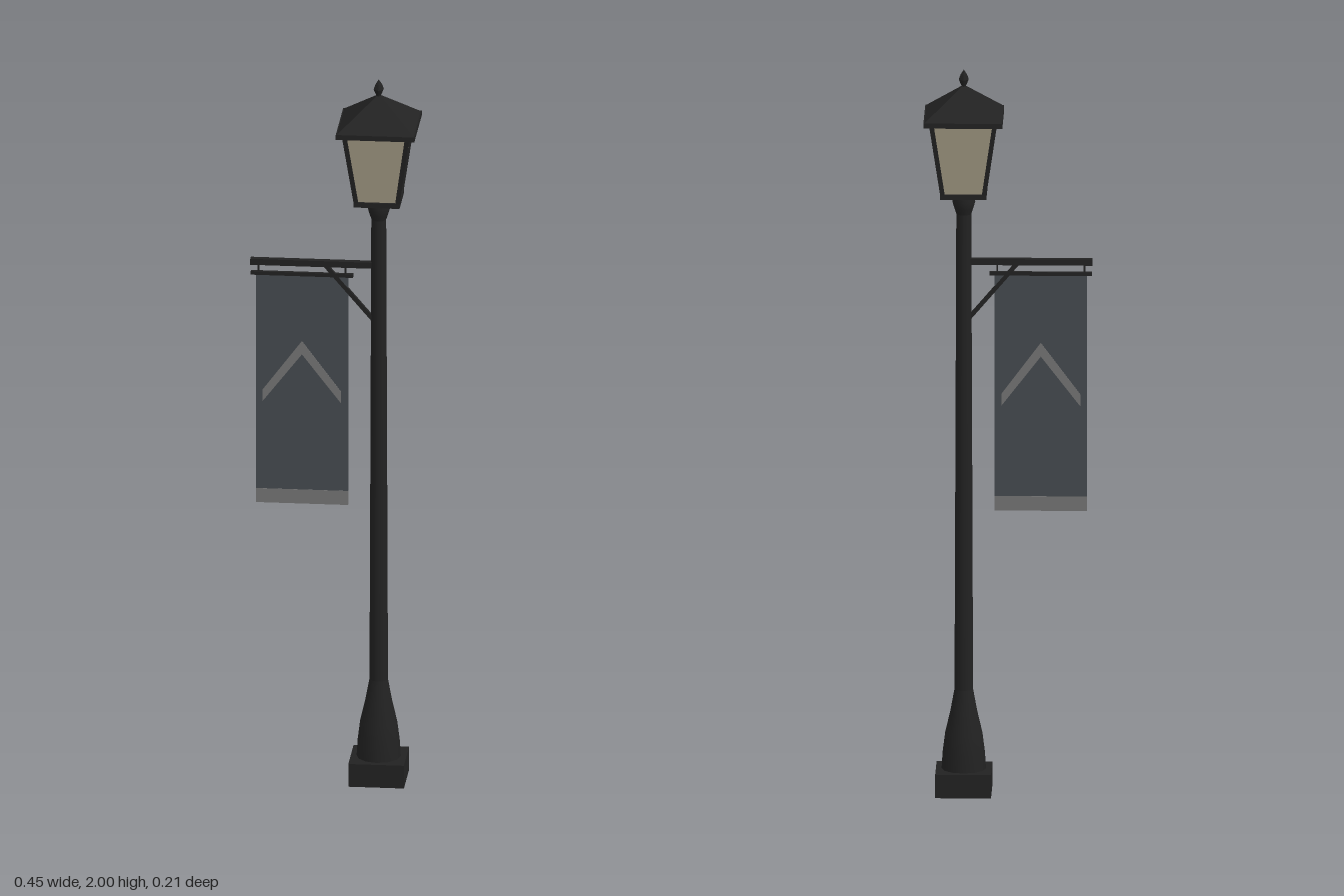
import * as THREE from 'three';

const POST_X = 0.119;
const BANNER_X = -0.088;

export function createModel() {
  const model = new THREE.Group();
  model.name = 'streetLamp';

  const material = (name, color, side = THREE.FrontSide) => {
    const m = new THREE.MeshStandardMaterial({ color, side });
    m.name = name;
    return m;
  };
  const iron = material('black iron', 0x222222);
  const glass = material('warm glass', 0xa59c86, THREE.DoubleSide);
  const cloth = material('slate cloth', 0x464b50);
  const trim = material('grey trim', 0x757575);

  const add = (name, geometry, mat, x = 0, y = 0, z = 0, parent = model) => {
    const mesh = new THREE.Mesh(geometry, mat);
    mesh.name = name;
    mesh.position.set(x, y, z);
    parent.add(mesh);
    return mesh;
  };
  // Faceted copy of a geometry
  const facet = (geometry) => {
    const g = geometry.toNonIndexed();
    g.computeVertexNormals();
    return g;
  };
  const box = (w, h, d) => new THREE.BoxGeometry(w, h, d);
  const lathe = (points, sides) =>
    new THREE.LatheGeometry(points.map(([r, y]) => new THREE.Vector2(r, y)), sides);
  // Square frustum given by its half widths
  const frustum = (top, bottom, height, open = false) => facet(
    new THREE.CylinderGeometry(top * Math.SQRT2, bottom * Math.SQRT2, height, 4, 1, open, Math.PI / 4));
  // Square bar between two points
  const bar = (name, a, b, size, parent) => {
    const start = new THREE.Vector3(...a), end = new THREE.Vector3(...b);
    const mesh = add(name, box(size, start.distanceTo(end), size), iron, 0, 0, 0, parent);
    mesh.position.copy(start).lerp(end, 0.5);
    mesh.quaternion.setFromUnitVectors(new THREE.Vector3(0, 1, 0), end.sub(start).normalize());
    return mesh;
  };

  // Post: hollow square plinth, flared foot, tapering shaft and collar
  const post = new THREE.Group();
  post.name = 'post';
  post.position.x = POST_X;
  model.add(post);
  const square = (h) => [[-h, -h], [h, -h], [h, h], [-h, h]].map(([x, y]) => new THREE.Vector2(x, y));
  const plinthShape = new THREE.Shape(square(0.075));
  plinthShape.holes.push(new THREE.Path(square(0.042)));
  const plinth = new THREE.ExtrudeGeometry(plinthShape, { depth: 0.065, bevelEnabled: false });
  plinth.rotateX(-Math.PI / 2);
  add('plinth', plinth, iron, 0, 0, 0, post);
  add('footFloor', box(0.1, 0.006, 0.1), iron, 0, 0.06, 0, post);
  add('foot', lathe([[0.06, 0.06], [0.057, 0.11], [0.05, 0.165], [0.036, 0.225], [0.025, 0.285]], 12),
    iron, 0, 0, 0, post);
  add('shaft', new THREE.CylinderGeometry(0.02, 0.025, 1.36, 12), iron, 0, 0.96, 0, post);
  add('collar', lathe([[0.02, 1.6], [0.025, 1.615], [0.031, 1.635], [0.026, 1.66]], 12), iron, 0, 0, 0, post);

  // Lantern: floor, glass, corner bars, rails, roof and finial
  const lantern = new THREE.Group();
  lantern.name = 'lantern';
  lantern.position.x = POST_X;
  model.add(lantern);
  add('lanternFloor', box(0.124, 0.014, 0.124), iron, 0, 1.661, 0, lantern);
  add('glassPanes', frustum(0.085, 0.056, 0.2, true), glass, 0, 1.765, 0, lantern);
  for (const sx of [-1, 1]) {
    for (const sz of [-1, 1]) {
      bar('cornerBar', [sx * 0.055, 1.66, sz * 0.055], [sx * 0.085, 1.866, sz * 0.085], 0.012, lantern);
    }
  }
  add('eaves', box(0.212, 0.014, 0.212), iron, 0, 1.869, 0, lantern);
  add('roof', frustum(0.004, 0.104, 0.08), iron, 0, 1.915, 0, lantern);
  add('finial', facet(lathe([[0.006, 1.945], [0.007, 1.956], [0.015, 1.973], [0.009, 1.987], [0, 2]], 6)),
    iron, 0, 0, 0, lantern);

  // Bracket: arm, diagonal brace, banner rod and hangers
  add('arm', box(0.34, 0.017, 0.017), iron, -0.057, 1.469, 0);
  bar('brace', [-0.024, 1.463, 0], [0.105, 1.312, 0], 0.011, model);
  bar('bannerRod', [-0.226, 1.436, 0], [0.05, 1.436, 0], 0.01, model);
  for (const side of [-1, 1]) {
    bar('hanger', [BANNER_X + side * 0.117, 1.436, 0], [BANNER_X + side * 0.117, 1.465, 0], 0.005, model);
  }

  // Banner with a hem band and a chevron showing on both faces
  add('banner', box(0.249, 0.615, 0.005), cloth, BANNER_X, 1.1275, 0);
  add('hemBand', box(0.249, 0.04, 0.007), trim, BANNER_X, 0.8, 0);
  const chevronShape = new THREE.Shape([
    [-0.106, 1.07], [0, 1.207], [0.106, 1.07], [0.106, 1.103], [0, 1.245], [-0.106, 1.103],
  ].map(([x, y]) => new THREE.Vector2(x, y)));
  const chevron = new THREE.ExtrudeGeometry(chevronShape, { depth: 0.008, bevelEnabled: false });
  add('chevron', chevron, trim, BANNER_X, 0, -0.004);

  return model;
}
